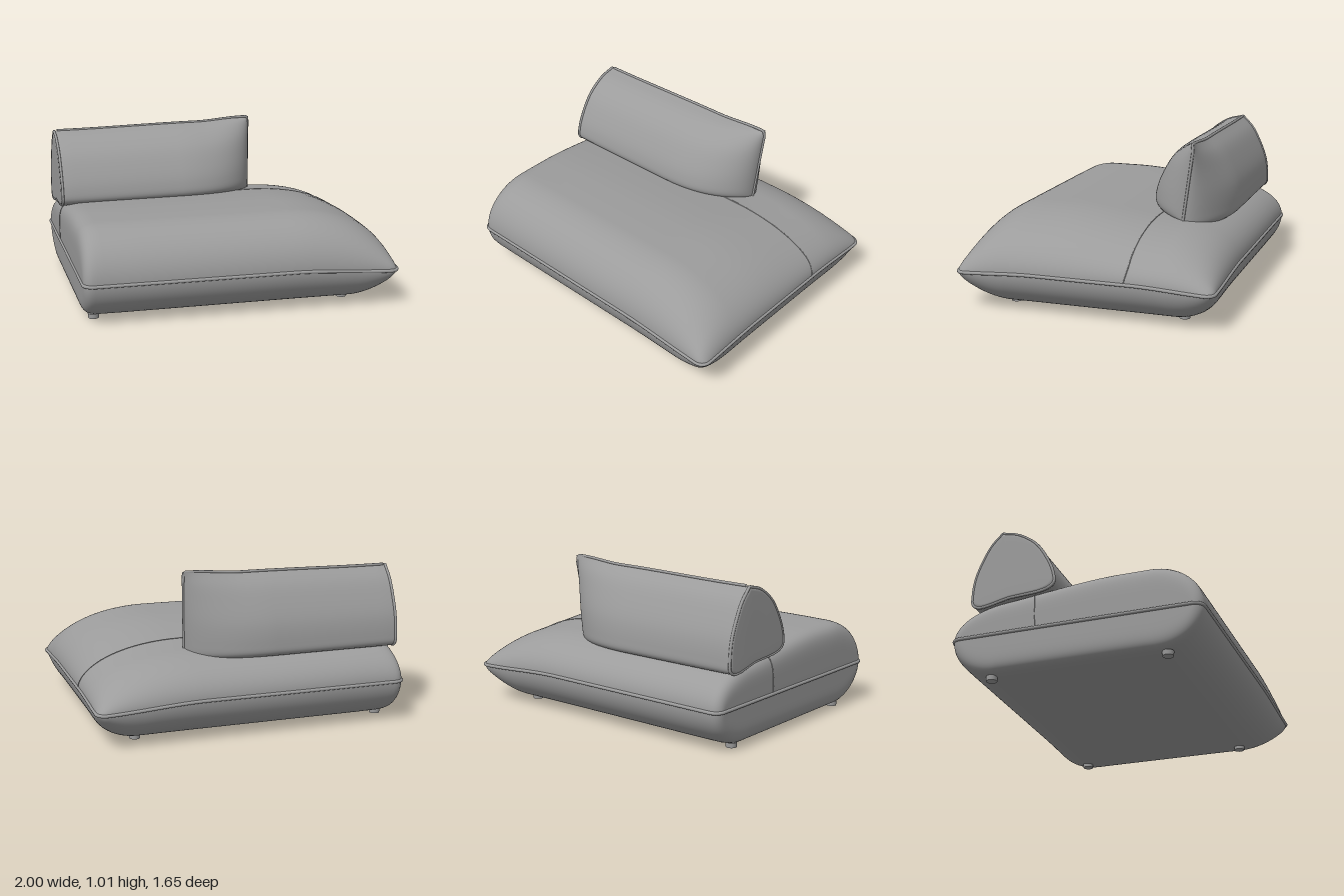
import * as THREE from 'three';

const fabric = new THREE.MeshStandardMaterial({ color: 0x9c9c9c });
fabric.name = 'grey fabric';

const smooth = (a, b, v) => THREE.MathUtils.smoothstep(a < b ? v : -v, a < b ? a : -a, a < b ? b : -b);
const V = (x, y, z) => new THREE.Vector3(x, y, z);

function mesh(name, geometry) {
  const m = new THREE.Mesh(geometry, fabric);
  m.name = name;
  return m;
}

// Smooth surface through a grid of points: rows[i][j]
function sheet(rows, flip = false) {
  const n = rows[0].length, index = [];
  for (let i = 0; i < rows.length - 1; i++) {
    for (let j = 0; j < n - 1; j++) {
      const a = i * n + j, b = a + 1, c = a + n, d = c + 1;
      if (flip) index.push(a, d, b, a, c, d);
      else index.push(a, b, d, a, d, c);
    }
  }
  const g = new THREE.BufferGeometry().setFromPoints(rows.flat());
  g.setIndex(index);
  g.computeVertexNormals();
  return g;
}

// Round cord along a path, skipping points that lie too close together
function cord(points, radius, closed = false, gap = 0.014) {
  const path = [];
  for (const p of points) if (!path.length || p.distanceTo(path.at(-1)) > gap) path.push(p);
  if (closed && path[0].distanceTo(path.at(-1)) < gap) path.pop();
  const curve = new THREE.CatmullRomCurve3(path, closed);
  return new THREE.TubeGeometry(curve, path.length * 3, radius, 8, closed);
}

// Bulge samples from an edge inward: position and fullness (0 at seam, 1 at crown)
function bulge(edge, dir, width, n, steps = 22) {
  const out = [];
  for (let k = 0; k <= steps; k++) {
    const t = Math.PI / 2 * Math.pow(k / steps, n / 2);
    out.push({
      p: edge + dir * width * (1 - Math.pow(Math.max(0, Math.cos(t)), 2 / n)),
      f: Math.pow(Math.sin(t), 2 / n),
    });
  }
  return out;
}

function axis(low, high, steps = 16) {
  const a = low.at(-1).p, b = high.at(-1).p, mid = [];
  for (let k = 1; k < steps; k++) mid.push({ p: a + (b - a) * k / steps, f: 1 });
  return [...low, ...mid, ...high.reverse()];
}

// ---- Seat cushion ----
const LEFT = -0.99, RIGHT = 0.985, DEPTH = 0.815;

// Distance the outline steps in at the rounded corners
function cornerInset(x, r = 0.06) {
  const d = Math.min(x - LEFT, RIGHT - x, r);
  return r - Math.sqrt(Math.max(0, r * r - (r - d) ** 2));
}

function seatPoint(x, z, side) {
  const front = 0.76 + 0.028 * (x.p + 1);
  const edge = (z.p > 0 ? front : DEPTH) - cornerInset(x.p);
  const pz = z.p * edge / DEPTH;
  const seam = 0.27 - 0.035 * smooth(0.3, 1, x.p) * (0.35 + 0.65 * smooth(0.3, 0.85, Math.abs(pz)));
  const crown = side > 0 ? 0.58 - 0.085 * smooth(0.25, -0.7, pz) : 0.02;
  return V(x.p, seam + (crown - seam) * x.f * z.f, pz);
}

function buildSeat() {
  const group = new THREE.Group();
  group.name = 'seatCushion';
  const topX = axis(bulge(LEFT, 1, 0.3, 6), bulge(RIGHT, -1, 0.65, 2));
  const topZ = axis(bulge(-DEPTH, 1, 0.33, 2), bulge(DEPTH, -1, 0.35, 2));
  const lowX = axis(bulge(LEFT, 1, 0.25, 6), bulge(RIGHT, -1, 0.28, 2));
  const lowZ = axis(bulge(-DEPTH, 1, 0.28, 2), bulge(DEPTH, -1, 0.3, 2));
  group.add(mesh('seatTop', sheet(topX.map(x => topZ.map(z => seatPoint(x, z, 1))))));
  group.add(mesh('seatUnderside', sheet(lowX.map(x => lowZ.map(z => seatPoint(x, z, -1))), true)));

  // Piping around the outline
  const outline = [
    ...topX.map(x => seatPoint(x, topZ.at(-1), 1)),
    ...[...topZ].reverse().map(z => seatPoint(topX.at(-1), z, 1)),
    ...[...topX].reverse().map(x => seatPoint(x, topZ[0], 1)),
    ...topZ.map(z => seatPoint(topX[0], z, 1)),
  ];
  group.add(mesh('seatPiping', cord(outline, 0.011, true)));

  // Stitched line across the top
  group.add(mesh('seatStitch', cord(topX.map(x => seatPoint(x, { p: -0.29, f: 1 }, 1)), 0.003)));
  return group;
}

// ---- Back cushion ----
const half = pts => new THREE.CatmullRomCurve3(pts.map(([z, y]) => V(0, y, z))).getPoints(36);
const frontHalf = half([[-0.51, 0.965], [-0.4, 0.935], [-0.28, 0.85], [-0.2, 0.73],
  [-0.16, 0.63], [-0.155, 0.56], [-0.2, 0.525], [-0.45, 0.5]]);
const rearHalf = half([[-0.45, 0.5], [-0.65, 0.465], [-0.69, 0.49], [-0.695, 0.55],
  [-0.68, 0.67], [-0.63, 0.8], [-0.58, 0.89], [-0.51, 0.965]]);
const section = [...frontHalf, ...rearHalf.slice(1)];

// Section point at x, flattened toward the seam by fullness f
function backPoint(p, x, f) {
  const h = (p.y - 0.5) / 0.465;
  const seamZ = -0.45 - 0.06 * h - 0.012 * smooth(-0.6, 0.38, x) * h;
  return V(
    x - 0.025 * (1 - h) * smooth(0, 0.38, x),
    p.y + h * (0.012 * smooth(-0.9, 0, x) + 0.02 * smooth(0, 0.33, x)),
    seamZ + (p.z - seamZ) * f,
  );
}

// Section shrunk about its middle for the flat end
const endRing = (x, s) => section.map(p => V(x, 0.68 + (p.y - 0.68) * s, -0.44 + (p.z + 0.44) * s));

function buildBack() {
  const group = new THREE.Group();
  group.name = 'backCushion';
  const stations = bulge(0.375, -1, 0.55, 2, 26).reverse();
  const body = [];
  for (let k = 0; k < 10; k++) body.push({ p: -0.96 + (stations[0].p + 0.96) * k / 10, f: 1 });
  const all = [...body, ...stations];
  const rows = [
    endRing(-0.988, 0.001), endRing(-0.988, 0.5), endRing(-0.988, 0.9), endRing(-0.986, 0.945),
    endRing(-0.979, 0.98), ...all.map(s => section.map(p => backPoint(p, s.p, s.f))),
  ];
  group.add(mesh('backBody', sheet(rows)));

  // Piping along the top seam and down the pinched end
  const apex = section[0], foot = frontHalf.at(-1);
  const top = all.map(s => backPoint(apex, s.p, 1));
  const tip = [];
  for (let k = 1; k <= 12; k++) tip.push(backPoint(apex.clone().lerp(foot, k / 12), 0.375, 0));
  group.add(mesh('backSeamPiping', cord([...top, ...tip], 0.009)));

  // Piping around the flat end
  group.add(mesh('backEndPiping', cord(endRing(-0.978, 0.985), 0.009, true)));
  return group;
}

export function createModel() {
  const model = new THREE.Group();
  model.name = 'loungeSeat';
  model.add(buildSeat(), buildBack());

  // Low round feet
  for (const x of [-0.905, 0.705]) {
    for (const z of [0.53, -0.57]) {
      const foot = mesh('foot', new THREE.CylinderGeometry(0.035, 0.033, 0.03, 24));
      foot.position.set(x, 0.015, z);
      model.add(foot);
    }
  }
  return model;
}
